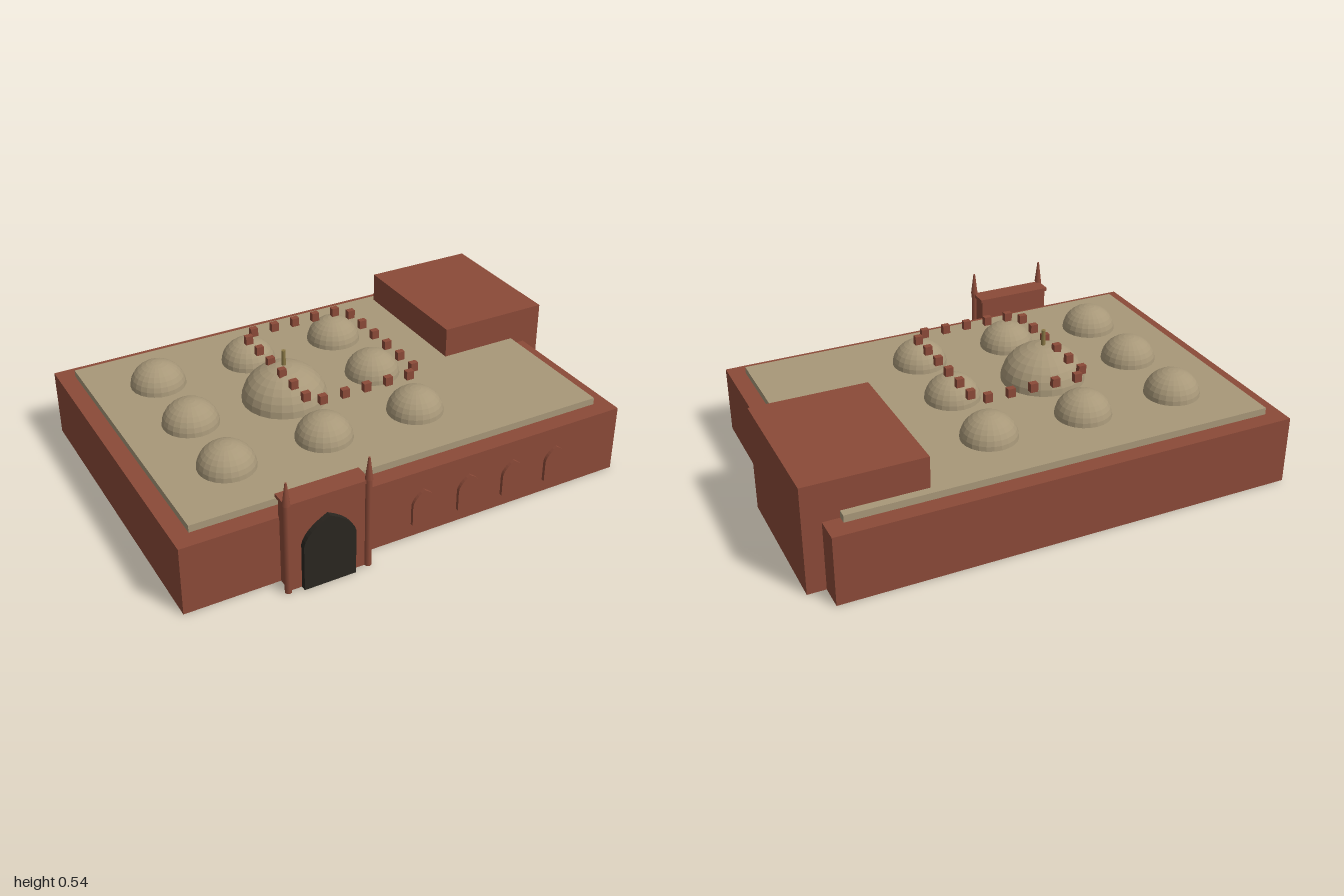
import * as THREE from 'three';

const paint = (color, flatShading = false) =>
  new THREE.MeshStandardMaterial({ color, flatShading, side: THREE.DoubleSide });
const brick = paint(0x8b4a38);
const plaster = paint(0xa89879);
const domeMat = paint(0xa89879, true);
const dark = paint(0x2a2620);
const brass = paint(0x8a7845);

export function createModel() {
  const model = new THREE.Group();

  const add = (name, geometry, material, x = 0, y = 0, z = 0, parent = model) => {
    const mesh = new THREE.Mesh(geometry, material);
    mesh.name = name;
    mesh.position.set(x, y, z);
    parent.add(mesh);
    return mesh;
  };

  // Box given by its limits; an open one has no bottom face
  const block = (name, [x0, x1], [y0, y1], [z0, z1], material, open = false, parent = model) => {
    const g = new THREE.BoxGeometry(x1 - x0, y1 - y0, z1 - z0);
    if (open) {
      const index = Array.from(g.index.array);
      index.splice(18, 6);
      g.setIndex(index);
      g.clearGroups();
    }
    return add(name, g, material, (x0 + x1) / 2, (y0 + y1) / 2, (z0 + z1) / 2, parent);
  };

  // Pointed arch standing on y = 0, extruded towards +z
  const pointedArch = (width, spring, height, depth) => {
    const w = width / 2, rise = height - spring;
    const s = new THREE.Shape();
    s.moveTo(-w, 0);
    s.lineTo(w, 0);
    s.lineTo(w, spring);
    s.quadraticCurveTo(w * 0.9, spring + rise * 0.55, 0, height);
    s.quadraticCurveTo(-w * 0.9, spring + rise * 0.55, -w, spring);
    s.closePath();
    return new THREE.ExtrudeGeometry(s, { depth, bevelEnabled: false, curveSegments: 6 });
  };

  // Hall, roof slab and the taller side block
  block('hallWalls', [-1, 0.925], [0, 0.29], [-0.735, 0.645], brick, true);
  block('roofSlab', [-0.93, 0.857], [0.2905, 0.32], [-0.665, 0.573], plaster);
  block('sideBlock', [0.513, 1], [0, 0.45], [-0.63, -0.01], brick, true);

  // Grid of small domes around one large dome
  const dome = (name, radius, height, x, z) => {
    const g = new THREE.SphereGeometry(radius, 24, 8, 0, Math.PI * 2, 0, Math.PI / 2);
    g.scale(1, height / radius, 1);
    add(name, g, domeMat, x, 0.318, z);
  };
  for (const x of [-0.658, -0.245, 0.168])
    for (const z of [-0.393, -0.047, 0.298]) dome('smallDome', 0.116, 0.106, x, z);
  dome('largeDome', 0.177, 0.153, -0.245, -0.045);
  add('finial', new THREE.CylinderGeometry(0.009, 0.009, 0.075, 8), brass, -0.245, 0.499, -0.045);

  // Ring of battlement blocks
  const battlements = new THREE.Group();
  battlements.name = 'battlements';
  model.add(battlements);
  const merlon = new THREE.BoxGeometry(0.032, 0.037, 0.024);
  for (const z of [-0.357, 0.265])
    for (let i = 0; i < 5; i++)
      add('merlon', merlon, brick, -0.232 + i * 0.097, 0.471, z, battlements);
  for (const x of [-0.28, 0.205])
    for (let i = 0; i < 6; i++)
      add('merlon', merlon, brick, x, 0.471, -0.304 + i * 0.104, battlements);

  // Gate with a pointed doorway, cap and corner pinnacles
  const gate = new THREE.Group();
  gate.name = 'gate';
  model.add(gate);
  block('gateBody', [-0.612, -0.288], [0, 0.375], [0.638, 0.712], brick, true, gate);
  block('gateCap', [-0.62, -0.28], [0.373, 0.387], [0.63, 0.718], brick, false, gate);
  add('doorway', pointedArch(0.214, 0.195, 0.3, 0.025), dark, -0.453, 0, 0.71, gate);
  for (const x of [-0.617, -0.284]) {
    add('gateColumn', new THREE.CylinderGeometry(0.014, 0.014, 0.39, 8), brick, x, 0.195, 0.714, gate);
    add('pinnacle', new THREE.CylinderGeometry(0.004, 0.016, 0.095, 8), brick, x, 0.4375, 0.716, gate);
  }

  // Blind windows along the front wall
  for (let i = 0; i < 4; i++)
    add('window', pointedArch(0.104, 0.09, 0.15, 0.019), brick, -0.003 + i * 0.207, 0.057, 0.64);

  return model;
}
